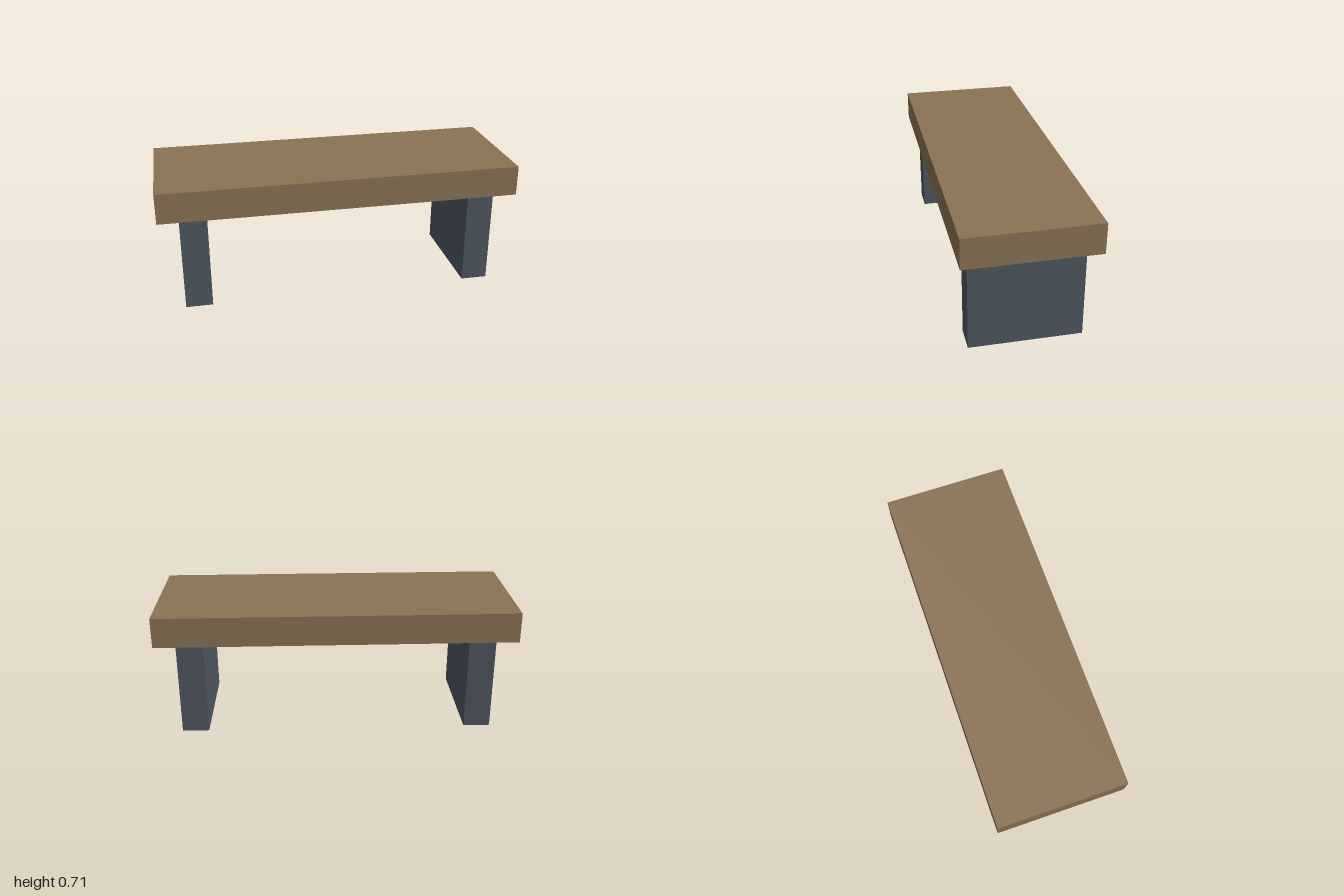
import * as THREE from 'three';

export function createModel() {
  const bench = new THREE.Group();
  bench.name = 'bench';

  const wood = new THREE.MeshStandardMaterial({ color: 0x8b7355 });
  wood.name = 'brown wood';
  const slate = new THREE.MeshStandardMaterial({ color: 0x4f5762 });
  slate.name = 'slate grey';

  const seatBottom = 0.545;
  const seatTop = 0.714;

  // A box standing on height y0
  function addBox(name, material, width, y0, y1, depth, x) {
    const mesh = new THREE.Mesh(new THREE.BoxGeometry(width, y1 - y0, depth), material);
    mesh.name = name;
    mesh.position.set(x, (y0 + y1) / 2, 0);
    bench.add(mesh);
  }

  // Thick seat slab
  addBox('seat', wood, 2, seatBottom, seatTop, 0.714, 0);

  // Slab legs, mirrored left and right
  for (const side of [1, -1]) {
    addBox(side > 0 ? 'leftLeg' : 'rightLeg', slate, 0.15, 0, seatBottom, 0.61, side * 0.81);
  }

  return bench;
}
